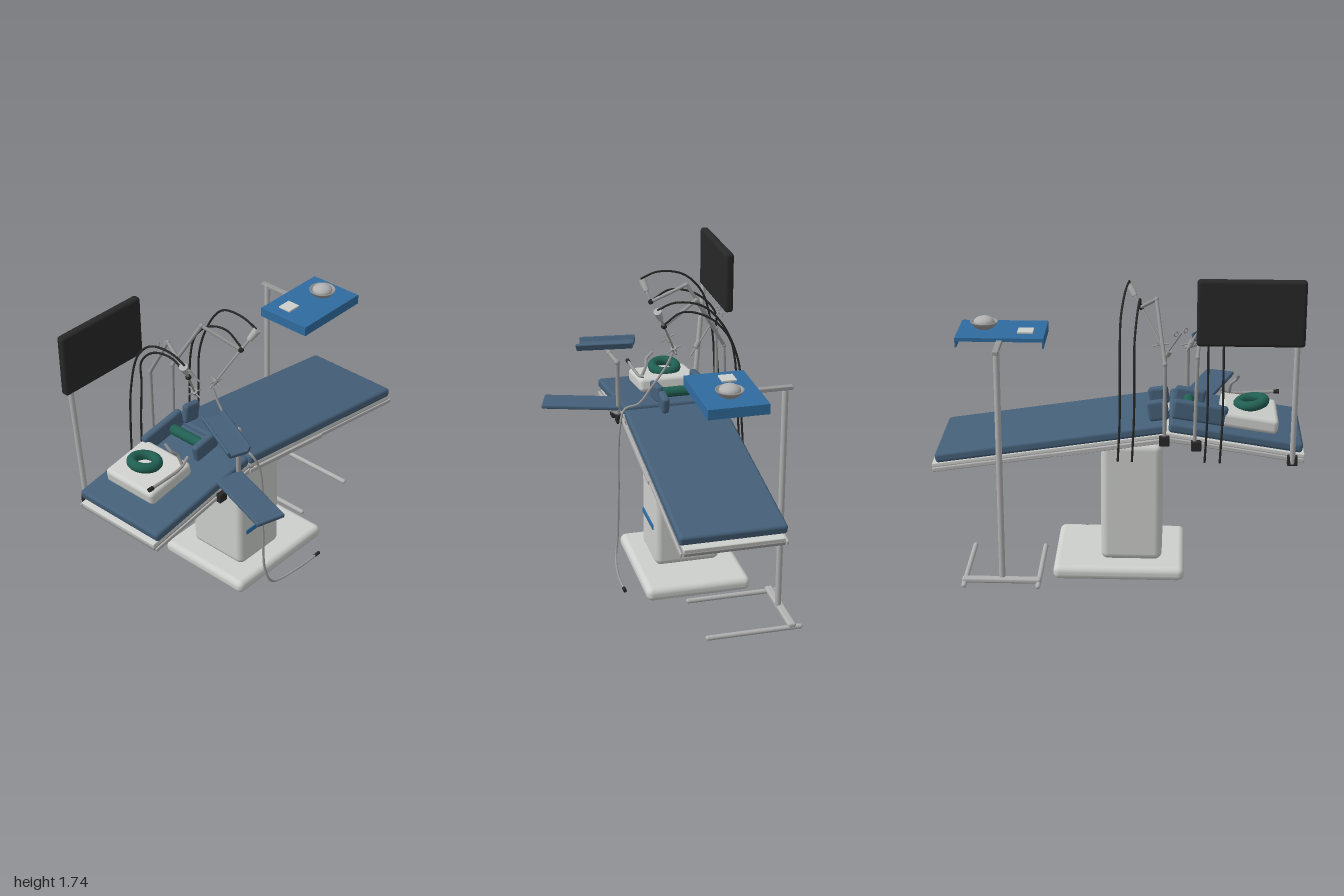
import * as THREE from 'three';
import { RoundedBoxGeometry } from 'three/addons/geometries/RoundedBoxGeometry.js';

const mat = (name, color) => Object.assign(new THREE.MeshStandardMaterial({ color }), { name });
const V = (p) => new THREE.Vector3(...p);

export function createModel() {
  const pad = mat('slate blue upholstery', 0x456079);
  const drape = mat('bright blue drape', 0x2f6c9f);
  const white = mat('pale grey enamel', 0xcdcfcc);
  const steel = mat('light steel', 0xb0b1b0);
  const metal = mat('grey metal', 0x999999);
  const black = mat('black plastic', 0x272727);
  const green = mat('green gel', 0x215f52);
  const root = new THREE.Group();
  root.name = 'operatingTable';

  const add = (name, geo, m, pos = [0, 0, 0], rot = [0, 0, 0], parent = root) => {
    const mesh = new THREE.Mesh(geo, m);
    mesh.name = name;
    mesh.position.set(...pos);
    mesh.rotation.set(...rot);
    parent.add(mesh);
    return mesh;
  };
  const box = (name, size, m, pos, r = 0.01, rot, parent) =>
    add(name, r ? new RoundedBoxGeometry(...size, 3, r) : new THREE.BoxGeometry(...size), m, pos, rot, parent);
  // straight rod between two points, optionally tapered
  const rod = (name, a, b, r, m, r2 = r) => {
    const A = V(a), B = V(b), d = B.clone().sub(A);
    const mesh = add(name, new THREE.CylinderGeometry(r2, r, d.length(), 14), m);
    mesh.position.copy(A).add(B).multiplyScalar(0.5);
    mesh.quaternion.setFromUnitVectors(new THREE.Vector3(0, 1, 0), d.normalize());
    return mesh;
  };
  const ball = (name, p, r, m) => add(name, new THREE.SphereGeometry(r, 14, 10), m, p);
  const tube = (name, pts, r, m) =>
    add(name, new THREE.TubeGeometry(new THREE.CatmullRomCurve3(pts.map(V), false, 'centripetal'), pts.length * 8, r, 8), m);
  // chain of rods with round joints
  const chain = (name, pts, r, m) => pts.slice(1).forEach((p, i) => {
    rod(name, pts[i], p, r, m);
    ball(name + 'Joint', p, r * 1.3, m);
  });

  const Z = -0.147, TILT = 0.151;

  // Pedestal
  box('base', [0.72, 0.08, 0.6], white, [-0.006, 0.04, -0.145], 0.035);
  box('column', [0.335, 0.69, 0.38], white, [-0.073, 0.42, -0.145], 0.04);
  box('columnStripe', [0.24, 0.03, 0.009], drape, [-0.076, 0.305, 0.048], 0.003);

  // Table top: two tilted sections, each a mattress on a deck, under-frame and side rails
  for (const [name, sx, x, matY, fx, frameY, matLen, frameLen, a] of [
    ['leg', 1, 0.361, 0.8, 0.376, 0.742, 1.255, 1.26, -TILT],
    ['back', -1, -0.63, 0.849, -0.62, 0.79, 0.72, 0.76, TILT],
  ]) {
    box(name + 'Mattress', [matLen, 0.055, 0.578], pad, [x, matY, Z], 0.018, [0, 0, a]);
    const section = new THREE.Group();
    section.name = name + 'Frame';
    section.position.set(fx, frameY, Z);
    section.rotation.z = a;
    root.add(section);
    box('deck', [frameLen, 0.024, 0.54], white, [0, 0.012, 0], 0.006, undefined, section);
    box('underFrame', [frameLen, 0.022, 0.54], metal, [0, -0.01, 0], 0.006, undefined, section);
    for (const s of [1, -1])
      box('sideRail', [frameLen - 0.02, 0.024, 0.012], steel, [sx * 0.01, -0.008, s * 0.283], 0.005, undefined, section);
  }
  for (const s of [1, -1])
    box('accessoryRail', [0.62, 0.024, 0.01], steel, [0.035, 0.786, Z + s * 0.291], 0.003, [0, 0, -TILT]);
  rod('hinge', [-0.26, 0.815, 0.12], [-0.26, 0.815, -0.41], 0.022, metal);
  box('columnHead', [0.26, 0.08, 0.3], white, [-0.076, 0.765, Z], 0.01);

  // Side bolsters, green strap roll and head rest
  for (const [x, y, z, len, h, a] of [
    [-0.437, 0.962, -0.348, 0.295, 0.11, TILT], [-0.385, 0.957, -0.08, 0.17, 0.1, TILT],
    [-0.215, 0.972, -0.348, 0.11, 0.115, -TILT], [-0.215, 0.96, -0.08, 0.11, 0.1, -TILT],
  ]) box('bolster', [len, h, 0.045], pad, [x, y, z], 0.018, [0, 0, a]);
  rod('gelRoll', [-0.378, 0.95, -0.33], [-0.378, 0.95, -0.1], 0.03, green);
  box('headCushion', [0.31, 0.085, 0.35], white, [-0.703, 0.907, -0.195], 0.025, [0, 0, TILT]);
  add('headRing', new THREE.TorusGeometry(0.07, 0.028, 14, 32), green, [-0.716, 0.975, -0.208], [Math.PI / 2, -TILT, 0]);

  // Breathing tube by the head
  tube('breathingTube', [[-0.87, 0.97, -0.02], [-0.75, 0.965, -0.025], [-0.62, 0.965, -0.035], [-0.55, 0.99, -0.05]], 0.009, metal);
  rod('breathingTubeTip', [-0.875, 0.97, -0.02], [-0.845, 0.969, -0.02], 0.012, black);
  tube('mouthTube', [[-0.6, 0.965, -0.04], [-0.61, 1.03, -0.07], [-0.64, 1.06, -0.08], [-0.648, 1.1, -0.12]], 0.009, metal);

  // Lower arm board
  box('armBoard', [0.165, 0.024, 0.445], pad, [-0.498, 0.885, 0.342], 0.008, [0, -0.305, 0]);
  rod('armBoardBracket', [-0.4, 0.872, 0.2], [-0.37, 0.83, 0.13], 0.012, metal);

  // Raised arm trough with sloping lips
  const trough = new THREE.Group();
  trough.name = 'armTrough';
  trough.position.set(-0.51, 1.222, 0.19);
  trough.rotation.set(0.1, -0.38, 0, 'YXZ');
  root.add(trough);
  box('troughBase', [0.1, 0.022, 0.325], pad, [0, 0, 0], 0.006, undefined, trough);
  for (const s of [1, -1])
    box('troughLip', [0.016, 0.045, 0.325], pad, [s * 0.055, 0.013, 0], 0.006, [0, 0, -s * 0.4], trough);
  chain('troughPost', [[-0.37, 0.82, 0.15], [-0.37, 1.165, 0.155], [-0.46, 1.19, 0.18], [-0.51, 1.21, 0.19]], 0.013, metal);

  // Rail clamps
  for (const [x, y, z] of [[-0.37, 0.82, 0.15], [-0.505, 0.8, 0.15], [-0.25, 0.835, -0.45], [-0.42, 0.81, -0.45], [-0.93, 0.735, -0.45]])
    box('clamp', [0.055, 0.055, 0.032], black, [x, y, z], 0.006);

  // Screen on its pole
  box('screen', [0.557, 0.352, 0.05], black, [-0.69, 1.565, -0.517], 0.018);
  rod('screenPole', [-0.93, 0.72, -0.455], [-0.93, 1.44, -0.512], 0.015, steel);

  // Two jointed instrument arms, each with camera head, shaft and port
  const arms = [
    { pts: [[-0.25, 0.82, -0.45], [-0.25, 1.26, -0.44], [-0.2, 1.56, -0.26], [-0.115, 1.455, -0.055]], head: [-0.05, 1.56, -0.005], tip: [-0.25, 1.23, -0.16] },
    { pts: [[-0.41, 0.81, -0.45], [-0.42, 1.3, -0.44], [-0.445, 1.57, -0.27], [-0.5, 1.465, -0.075]], head: [-0.562, 1.567, -0.045], tip: [-0.36, 1.24, -0.16] },
  ];
  for (const { pts, head, tip } of arms) {
    chain('instrumentArm', pts, 0.01, metal);
    const joint = pts[3], j = V(joint), h = V(head), t = V(tip);
    const at = (a, b, k) => a.clone().lerp(b, k).toArray();
    ball('armKnuckle', joint, 0.016, black);
    rod('instrumentNeck', joint, head, 0.007, metal);
    rod('instrumentHead', at(j, h, 0.55), at(j, h, 1.1), 0.016, steel, 0.023);
    rod('instrumentShaft', joint, tip, 0.006, metal);
    const p = at(j, t, 0.82);
    rod('port', at(j, t, 0.76), at(j, t, 0.9), 0.017, metal, 0.011);
    rod('portTap', [p[0] - 0.045, p[1] + 0.008, p[2]], [p[0] + 0.05, p[1] - 0.008, p[2]], 0.004, metal);
    rod('portStem', [p[0], p[1] + 0.02, p[2] - 0.04], [p[0], p[1] - 0.02, p[2] + 0.04], 0.004, metal);
  }
  // Grasper
  rod('grasperShaft', [-0.335, 1.43, -0.43], [-0.235, 1.22, -0.24], 0.005, metal);
  for (const [x, y] of [[-0.355, 1.445], [-0.305, 1.425]])
    add('grasperRing', new THREE.TorusGeometry(0.012, 0.004, 8, 16), metal, [x, y, -0.435], [0, 0.6, 0]);
  rod('grasperPort', [-0.275, 1.29, -0.3], [-0.26, 1.255, -0.275], 0.015, metal);

  // Black cables arching back from the heads
  for (const [x, y, z, x2, lift] of [
    [-0.565, 1.585, -0.03, -0.555, 0.035], [-0.5, 1.48, -0.09, -0.475, 0.05],
    [-0.05, 1.575, 0.0, -0.015, 0.035], [-0.11, 1.47, -0.06, -0.09, 0.06],
  ]) tube('cable', [
    [x, y, z], [x, y + lift, z - 0.1], [x * 0.5 + x2 * 0.5, y + lift * 0.3, z - 0.25],
    [x2, y - 0.1, z - 0.36], [x2, 1.25, -0.455], [x2, 0.98, -0.475], [x2 + 0.01, 0.73, -0.49],
  ], 0.006, black);

  // Grey lead running over the edge down to the floor
  tube('floorLead', [
    [-0.25, 1.24, -0.14], [-0.25, 1.16, -0.1], [-0.25, 1.05, -0.02], [-0.25, 0.95, 0.06], [-0.25, 0.925, 0.14],
    [-0.225, 0.83, 0.175], [-0.215, 0.4, 0.19], [-0.21, 0.13, 0.2], [-0.17, 0.025, 0.22], [0.03, 0.012, 0.25], [0.2, 0.012, 0.252],
  ], 0.007, metal);
  rod('leadPlug', [0.175, 0.013, 0.252], [0.212, 0.013, 0.252], 0.01, black);

  // Instrument stand
  for (const x of [0.425, 0.828]) {
    rod('standFoot', [x, 0.026, -0.575], [x, 0.026, -0.06], 0.014, steel);
    for (const z of [-0.575, -0.06]) ball('standFootCap', [x, 0.026, z], 0.014, steel);
  }
  box('standCrossbar', [0.43, 0.03, 0.045], steel, [0.627, 0.04, -0.527], 0.012);
  rod('standPole', [0.624, 0.04, -0.515], [0.624, 1.35, -0.515], 0.017, steel);
  box('standArm', [0.032, 0.022, 0.36], metal, [0.626, 1.343, -0.375], 0.005);

  // Draped tray: top sheet with skirts, the back left short for the arm
  box('trayTop', [0.472, 0.012, 0.325], drape, [0.627, 1.36, -0.195], 0.004);
  box('trayPan', [0.45, 0.008, 0.305], metal, [0.627, 1.351, -0.195], 0);
  box('frontSkirt', [0.472, 0.055, 0.008], drape, [0.627, 1.337, -0.036], 0);
  box('backSkirt', [0.472, 0.02, 0.008], drape, [0.627, 1.354, -0.354], 0);
  for (const s of [1, -1])
    box('sideSkirt', [0.008, 0.055, 0.325], drape, [0.627 + s * 0.232, 1.337, -0.195], 0);

  // Bowl and swab pack on the tray
  const bowl = [[0, 0], [0.035, 0], [0.055, 0.012], [0.074, 0.036], [0.075, 0.041], [0.068, 0.041], [0.05, 0.02], [0, 0.012]];
  add('bowl', new THREE.LatheGeometry(bowl.map((p) => new THREE.Vector2(...p)), 32), metal, [0.724, 1.366, -0.185]);
  const dome = ball('bowlContents', [0.724, 1.4, -0.185], 0.058, steel);
  dome.scale.y = 0.6;
  box('swabPack', [0.085, 0.012, 0.08], white, [0.496, 1.371, -0.24], 0.003);
  return root;
}
